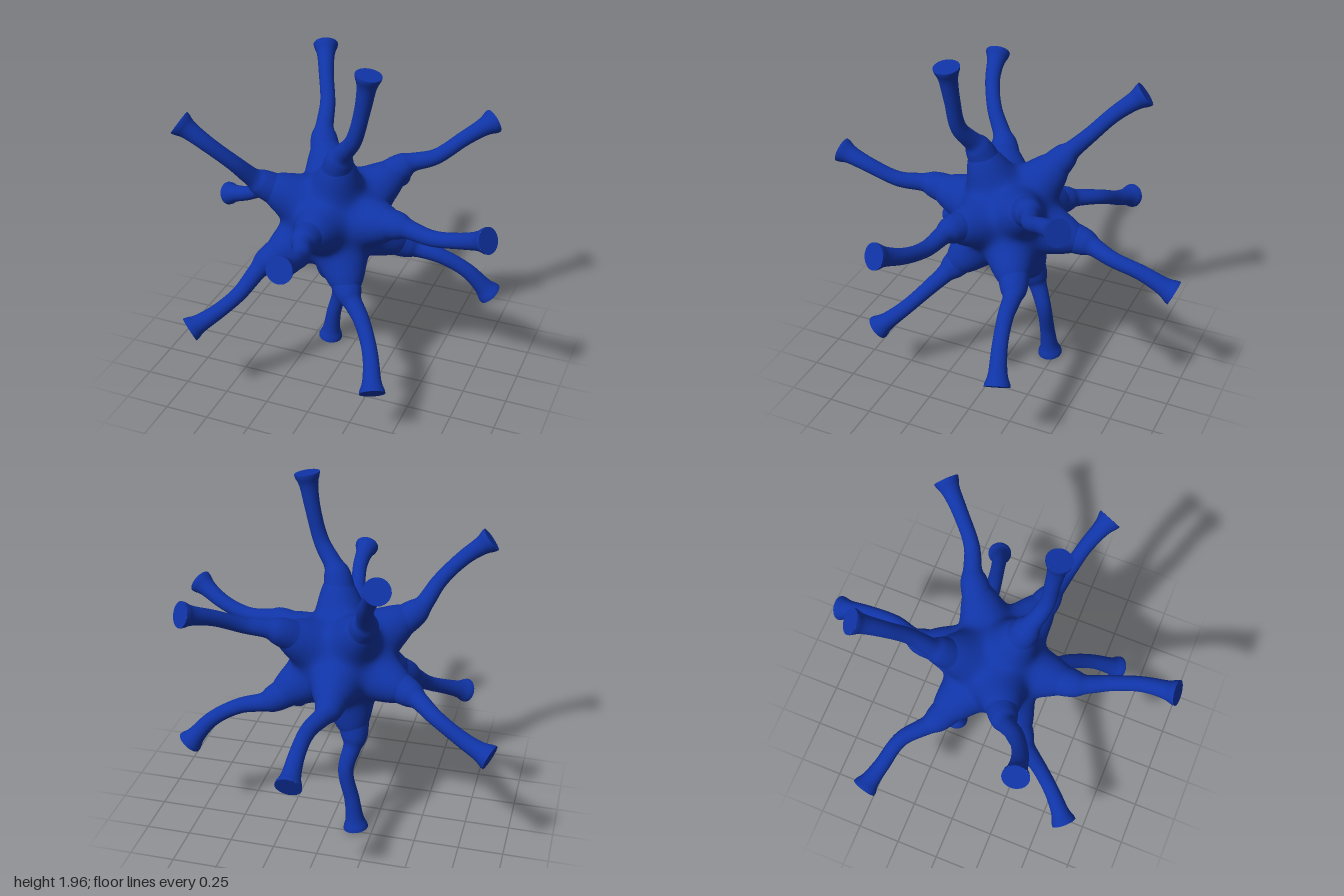
import * as THREE from 'three';
import { mergeVertices } from 'three/addons/utils/BufferGeometryUtils.js';

const material = new THREE.MeshStandardMaterial({ color: 0x1034a6 });
const center = new THREE.Vector3(-0.03, 1, 0);

// Each arm: shoulder, two points along the bend, tip
const arms = {
  topArm: [[0.05, 1.43, 0.14], [0.15, 1.58, 0.2], [0.2, 1.76, 0.21], [0.235, 1.96, 0.22]],
  bottomArm: [[-0.12, 0.57, -0.13], [-0.09, 0.39, -0.2], [-0.13, 0.2, -0.21], [-0.155, 0.025, -0.22]],
  leftFrontArm: [[0.39, 1.1, 0.145], [0.58, 1.09, 0.185], [0.74, 1.13, 0.225], [0.91, 1.21, 0.3]],
  rightBackArm: [[-0.45, 0.92, -0.19], [-0.61, 0.88, -0.33], [-0.77, 0.8, -0.385], [-0.91, 0.75, -0.43]],
  frontArm: [[-0.02, 1.09, 0.47], [0.045, 1.115, 0.64], [0.077, 1.18, 0.8], [0.077, 1.24, 0.98]],
  backArm: [[-0.055, 0.92, -0.46], [0, 0.895, -0.63], [0.01, 0.86, -0.8], [0.005, 0.78, -0.985]],
  rightUpperFrontArm: [[-0.4, 1.24, 0.195], [-0.495, 1.38, 0.295], [-0.61, 1.5, 0.36], [-0.75, 1.61, 0.39]],
  leftLowerBackArm: [[0.34, 0.78, -0.2], [0.51, 0.735, -0.23], [0.66, 0.65, -0.265], [0.79, 0.5, -0.31]],
  leftUpperBackArm: [[0.28, 1.25, -0.26], [0.43, 1.295, -0.33], [0.56, 1.38, -0.45], [0.68, 1.445, -0.58]],
  rightLowerFrontArm: [[-0.34, 0.78, 0.28], [-0.43, 0.65, 0.43], [-0.51, 0.58, 0.535], [-0.625, 0.505, 0.65]],
  rightUpperBackArm: [[-0.205, 1.34, -0.26], [-0.235, 1.485, -0.39], [-0.29, 1.61, -0.505], [-0.35, 1.725, -0.645]],
  leftLowerFrontArm: [[0.14, 0.7, 0.25], [0.26, 0.595, 0.35], [0.35, 0.48, 0.46], [0.42, 0.34, 0.61]],
};

// Weld seams so the shading stays smooth
function weld(geometry) {
  geometry.deleteAttribute('uv');
  geometry.deleteAttribute('normal');
  const welded = mergeVertices(geometry, 1e-5);
  welded.computeVertexNormals();
  return welded;
}

// Round core, drawn out into a soft cone towards every arm
function createCore(directions) {
  const geometry = weld(new THREE.IcosahedronGeometry(1, 36));
  const position = geometry.attributes.position;
  const v = new THREE.Vector3();
  for (let i = 0; i < position.count; i++) {
    v.fromBufferAttribute(position, i).normalize();
    let r = 0.265;
    for (const d of directions) r += 0.2 * Math.exp(-((v.angleTo(d) / 0.35) ** 2));
    v.multiplyScalar(r).add(center);
    position.setXYZ(i, v.x, v.y, v.z);
  }
  geometry.computeVertexNormals();
  return new THREE.Mesh(geometry, material);
}

// Bent arm: thick shoulder, slim shaft, flared tip closed by a disc
function createArm(points) {
  const start = center.clone().lerp(points[0], 0.45);
  const curve = new THREE.CatmullRomCurve3([start, ...points]);
  const L = curve.getLength();
  const radius = new THREE.CubicInterpolant(
    [0, 0.1, 0.17, 0.23, 0.265, 0.3, 0.35, L - 0.12, L - 0.05, L - 0.015, L],
    [0.16, 0.105, 0.086, 0.077, 0.069, 0.054, 0.048, 0.046, 0.055, 0.068, 0.07], 1);
  const rings = 80, sides = 28;
  const tube = new THREE.TubeGeometry(curve, rings, 1, sides);
  const position = tube.attributes.position;
  const v = new THREE.Vector3();
  for (let i = 0; i <= rings; i++) {
    const p = curve.getPointAt(i / rings);
    const r = radius.evaluate((i / rings) * L)[0];
    for (let j = 0; j <= sides; j++) {
      const k = i * (sides + 1) + j;
      v.fromBufferAttribute(position, k).sub(p).multiplyScalar(r).add(p);
      position.setXYZ(k, v.x, v.y, v.z);
    }
  }
  const shaft = new THREE.Mesh(weld(tube), material);
  shaft.name = 'shaft';

  const cap = new THREE.Mesh(new THREE.CircleGeometry(0.07, sides), material);
  cap.name = 'tipDisc';
  cap.position.copy(curve.getPointAt(1));
  cap.quaternion.setFromUnitVectors(new THREE.Vector3(0, 0, 1), curve.getTangentAt(1));

  const arm = new THREE.Group();
  arm.add(shaft, cap);
  return arm;
}

export function createModel() {
  const model = new THREE.Group();
  model.name = 'branchingBody';
  const directions = [];
  for (const [name, coords] of Object.entries(arms)) {
    const points = coords.map((c) => new THREE.Vector3(...c));
    directions.push(points[0].clone().sub(center).normalize());
    const arm = createArm(points);
    arm.name = name;
    model.add(arm);
  }
  const core = createCore(directions);
  core.name = 'core';
  model.add(core);
  return model;
}
